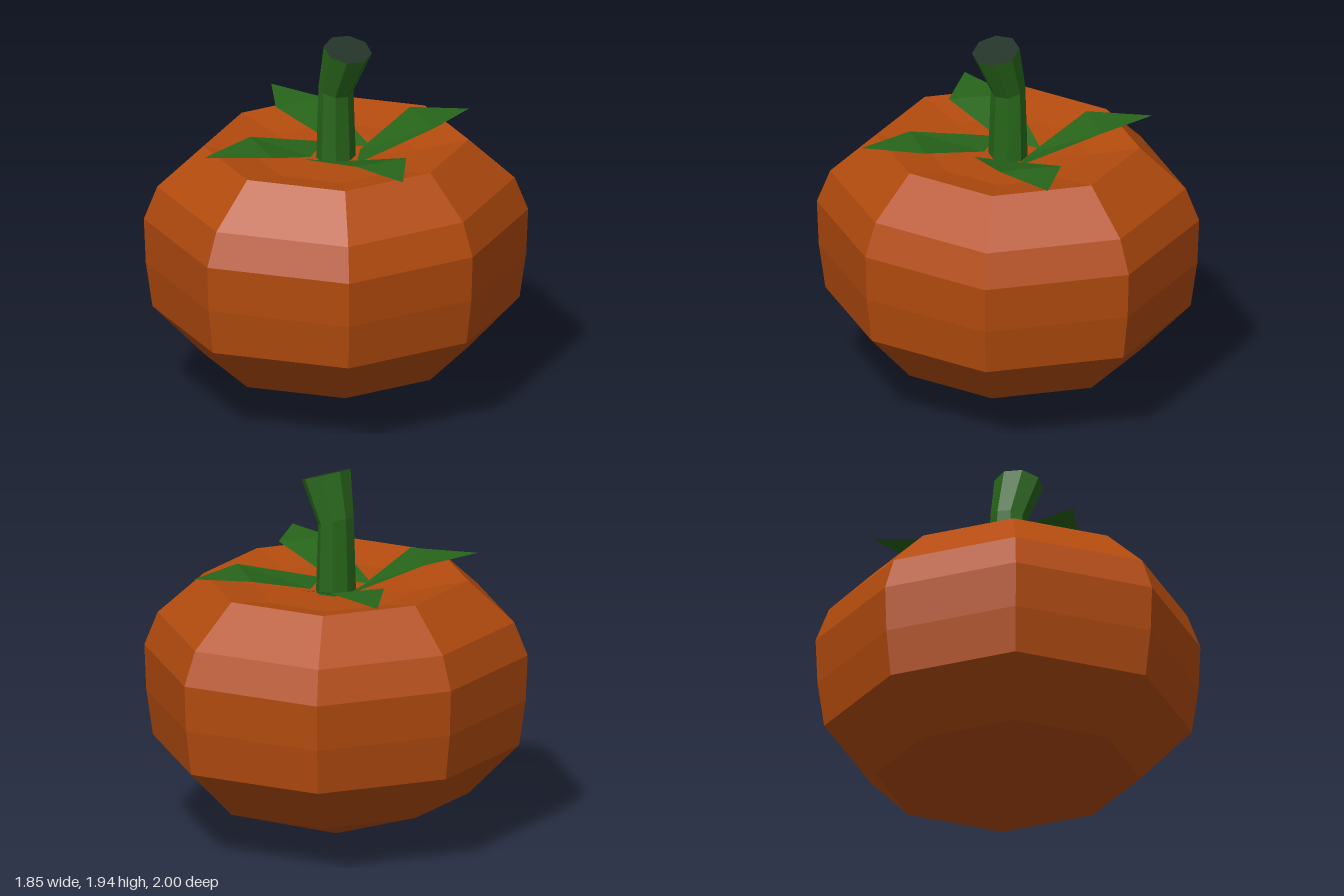
import * as THREE from 'three';

const orange = new THREE.MeshStandardMaterial({ color: 0xb34b0e });
orange.name = 'pumpkin orange';
const green = new THREE.MeshStandardMaterial({ color: 0x27651a, side: THREE.DoubleSide });
green.name = 'leaf green';
const darkGreen = new THREE.MeshStandardMaterial({ color: 0x243529 });
darkGreen.name = 'cut stem green';

// Faceted mesh from a list of triangles, each three [x, y, z] corners
function facetMesh(name, triangles, material) {
  const geometry = new THREE.BufferGeometry();
  geometry.setAttribute('position', new THREE.Float32BufferAttribute(triangles.flat(2), 3));
  geometry.computeVertexNormals();
  const mesh = new THREE.Mesh(geometry, material);
  mesh.name = name;
  return mesh;
}

// Skin a stack of eight-cornered rings, ordered from bottom to top
function loft(rings) {
  const triangles = [];
  for (let i = 0; i < rings.length - 1; i++) {
    for (let k = 0; k < 8; k++) {
      const n = (k + 1) % 8;
      const a = rings[i][k], b = rings[i][n], c = rings[i + 1][n], d = rings[i + 1][k];
      const same = (p, q) => p.every((v, j) => Math.abs(v - q[j]) < 1e-6);
      if (!same(a, b)) triangles.push([a, b, c]);
      if (!same(c, d)) triangles.push([a, c, d]);
    }
  }
  return triangles;
}

// Octagonal ring; tilt is the drop in height per unit of x
function stemRing(cx, cy, rx, rz, tilt) {
  return Array.from({ length: 8 }, (_, k) => {
    const dx = rx * Math.sin(k * Math.PI / 4);
    return [cx + dx, cy - dx * tilt, rz * Math.cos(k * Math.PI / 4)];
  });
}

export function createModel() {
  const model = new THREE.Group();
  model.name = 'pumpkin';

  // Body: squashed octagonal profile with a sunken crown
  const outline = [[0, 1], [0.695, 0.695], [0.925, 0], [0.695, -0.695],
    [0, -1], [-0.695, -0.695], [-0.925, 0], [-0.695, 0.695]];
  const profile = [[0, 0], [0.69, 0.235], [0.955, 0.5], [0.99, 0.74], [1, 0.98],
    [0.93, 1.155], [0.69, 1.37], [0.43, 1.315], [0, 1.29]];
  const bodyRings = profile.map(([r, y]) => outline.map(([x, z]) => [x * r, y, z * r]));
  model.add(facetMesh('body', loft(bodyRings), orange));

  // Stem: leans to one side and flares at the cut end
  const cut = stemRing(0.08, 1.9, 0.11, 0.138, 0.36);
  const stemRings = [
    stemRing(0, 1.27, 0.095, 0.11, 0),
    stemRing(0, 1.67, 0.08, 0.1, 0.36),
    cut,
  ];
  model.add(facetMesh('stem', loft(stemRings), green));
  model.add(facetMesh('stemCut', loft([cut, stemRing(0.08, 1.9, 0, 0, 0)]), darkGreen));

  // Leaves, in x and z: base, bend, tip, bend, base
  const leaves = [
    [[-0.07, 0.18], [0.4, 0.3], [0.715, 0.3], [0.51, 0.04], [0.1, 0.07]],
    [[0.18, 0.05], [0.345, -0.37], [0.29, -0.7], [0.055, -0.51], [0.06, -0.12]],
    [[0.08, -0.18], [-0.35, -0.325], [-0.7, -0.3], [-0.46, -0.06], [-0.08, -0.09]],
    [[-0.15, -0.08], [-0.285, 0.34], [-0.275, 0.71], [0, 0.49], [-0.06, 0.13]],
  ];
  const heights = [1.315, 1.43, 1.425, 1.43, 1.315];
  leaves.forEach((points, i) => {
    const [a, b, tip, c, d] = points.map(([x, z], j) => [x, heights[j], z]);
    model.add(facetMesh(`leaf${i + 1}`, [[a, b, d], [b, c, d], [b, tip, c]], green));
  });

  return model;
}
